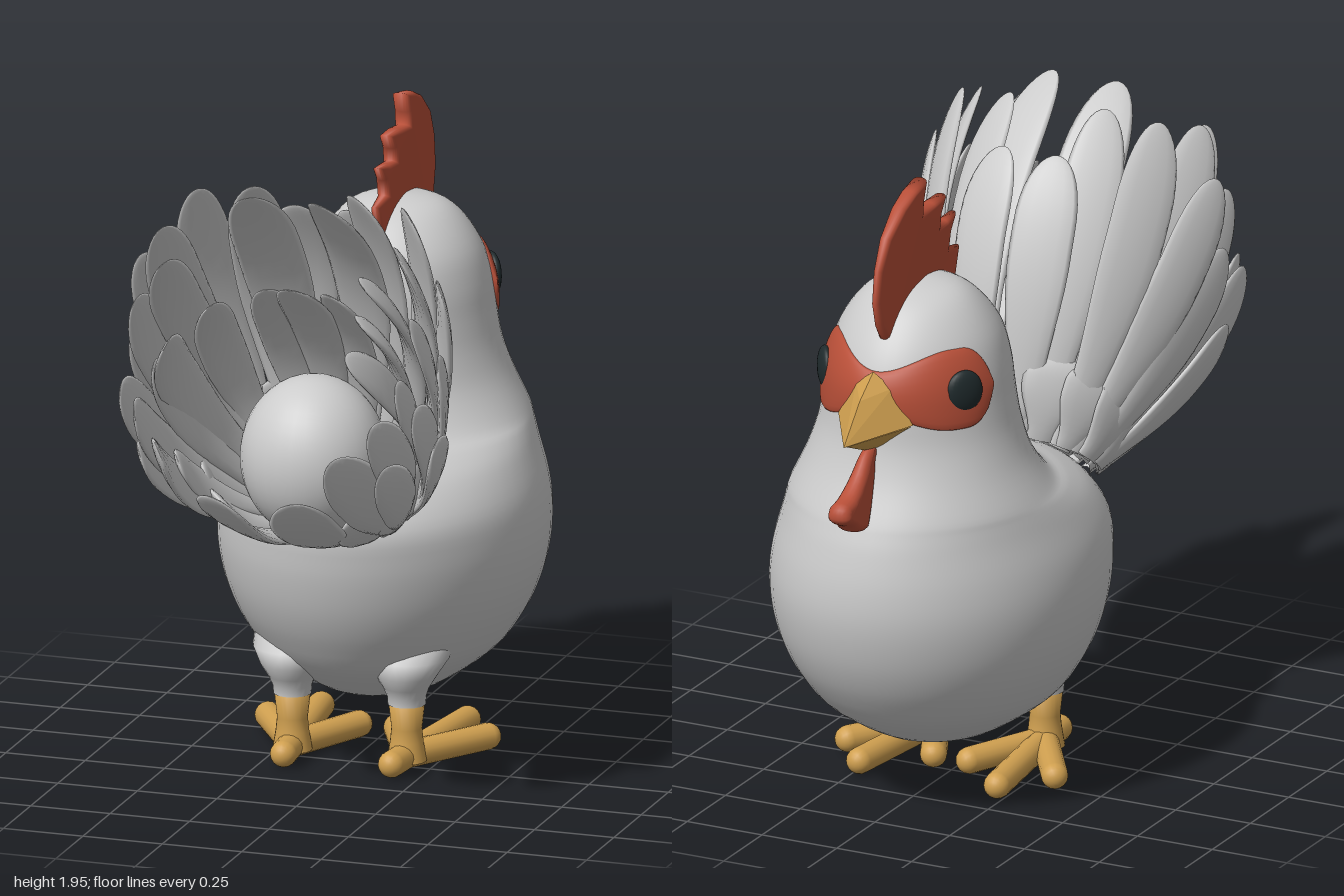
import * as THREE from 'three';
import { ConvexGeometry } from 'three/addons/geometries/ConvexGeometry.js';
import { mergeVertices } from 'three/addons/utils/BufferGeometryUtils.js';

const V = (x, y, z) => new THREE.Vector3(x, y, z);
const { lerp, smoothstep, mapLinear } = THREE.MathUtils;
const paint = (color, extra = {}) => new THREE.MeshStandardMaterial({ color, ...extra });
const grey = paint(0xcccccc);
const red = paint(0xb84f38);
const yellow = paint(0xd0a050);
const horn = paint(0xd0a050, { flatShading: true });
const dark = paint(0x1f2a2c);

function add(parent, name, geometry, material) {
  const mesh = new THREE.Mesh(geometry, material);
  mesh.name = name;
  parent.add(mesh);
  return mesh;
}

// Skin over closed rings of equal point count, counterclockwise about the path
function loft(rings) {
  const n = rings[0].length, index = [];
  for (let i = 0; i < rings.length - 1; i++) {
    for (let j = 0; j < n; j++) {
      const k = (j + 1) % n, a = i * n, b = a + n;
      index.push(a + j, a + k, b + k, a + j, b + k, b + j);
    }
  }
  const geometry = new THREE.BufferGeometry().setFromPoints(rings.flat());
  geometry.setIndex(index);
  geometry.computeVertexNormals();
  return geometry;
}

const ring = (n, f) => Array.from({ length: n }, (_, j) => f((j / n) * Math.PI * 2));

// Body sections: height, half width, front z, back z
const SECTIONS = [
  [0.16, 0, -0.3, -0.3], [0.17, 0.11, -0.42, -0.17], [0.2, 0.2, -0.55, -0.05],
  [0.3, 0.34, -0.72, 0.11], [0.4, 0.415, -0.81, 0.19], [0.5, 0.46, -0.868, 0.245],
  [0.6, 0.483, -0.903, 0.28], [0.7, 0.488, -0.92, 0.3], [0.8, 0.475, -0.916, 0.3],
  [0.9, 0.44, -0.895, 0.22], [0.96, 0.413, -0.875, 0.1], [1.0, 0.39, -0.858, -0.01],
  [1.1, 0.338, -0.81, -0.105], [1.2, 0.304, -0.78, -0.14], [1.3, 0.286, -0.77, -0.153],
  [1.4, 0.272, -0.755, -0.165], [1.5, 0.242, -0.71, -0.2], [1.59, 0.18, -0.635, -0.28],
  [1.635, 0.11, -0.55, -0.36], [1.65, 0, -0.45, -0.45],
];

// Smoothly interpolated section at parameter s (0 .. last index)
function section(s) {
  const last = SECTIONS.length - 1, i = Math.min(Math.floor(s), last - 1), t = s - i;
  const at = (k) => SECTIONS[Math.max(0, Math.min(last, k))];
  return [0, 1, 2, 3].map((c) => {
    const [a, b, d, e] = [at(i - 1)[c], at(i)[c], at(i + 1)[c], at(i + 2)[c]];
    return b + 0.5 * t * (d - a + t * (2 * a - 5 * b + 4 * d - e + t * (3 * (b - d) + e - a)));
  });
}

// Point of a section at an angle from the tail side; face and rump narrow a little
function skinPoint([y, w, front, back], a, offset = 0) {
  const c = Math.cos(a);
  const pinch = c < 0 ? 0.12 * smoothstep(y, 1.05, 1.3) : 0.05 + 0.15 * Math.exp(-(((y - 1) / 0.12) ** 2));
  return V((w + offset) * Math.sin(a) * (1 - pinch * c * c), y,
    (front + back) / 2 + ((back - front) / 2 + offset) * c);
}

// Point on the head at height y and angle from the beak, pushed out by offset
function onHead(angle, y, offset) {
  let lo = 12, hi = 17;
  for (let i = 0; i < 24; i++) {
    const mid = (lo + hi) / 2;
    if (section(mid)[0] < y) lo = mid; else hi = mid;
  }
  return skinPoint(section(lo), Math.PI - angle, offset);
}

function bodyGeometry() {
  const rings = [], steps = (SECTIONS.length - 1) * 4;
  for (let i = 0; i <= steps; i++) rings.push(ring(56, (a) => skinPoint(section(i / 4), a)));
  return loft(rings);
}

// Band round the face, wide at the eyes and narrow over the beak
function maskGeometry() {
  const rings = [], end = 1.37, eye = 1.03;
  for (let i = 0; i <= 64; i++) {
    const angle = end * Math.sin((i / 32 - 1) * Math.PI / 2), s = Math.abs(angle);
    const h = s > eye
      ? 0.118 * Math.sqrt(Math.max(0, 1 - ((s - eye) / (end - eye)) ** 2))
      : lerp(0.06, 0.118, smoothstep(s, 0, 0.9));
    rings.push(ring(20, (a) => onHead(angle, 1.375 + h * Math.cos(a), -0.014 * Math.sin(a))));
  }
  return loft(rings);
}

// Plate drawn in (z, y), rounded at its edges; thin(y, z) scales its thickness
function plate(points, thickness, bevel, smooth, thin) {
  const pts = points.map(([z, y]) => new THREE.Vector2(-z, y));
  const shape = new THREE.Shape(
    smooth ? new THREE.CatmullRomCurve3(pts.map((p) => V(p.x, p.y, 0)), true)
      .getPoints(40).slice(0, -1).map((p) => new THREE.Vector2(p.x, p.y)) : pts);
  const depth = thickness - 2 * bevel;
  const solid = new THREE.ExtrudeGeometry(shape, {
    depth, bevelThickness: bevel, bevelSize: bevel * 0.7, bevelOffset: -bevel * 0.7, bevelSegments: 4,
  }).translate(0, 0, -depth / 2).rotateY(Math.PI / 2);
  solid.deleteAttribute('normal');
  solid.deleteAttribute('uv');
  const geometry = mergeVertices(solid, 1e-5), pos = geometry.attributes.position;
  for (let i = 0; i < pos.count; i++) pos.setX(i, pos.getX(i) * thin(pos.getY(i), pos.getZ(i)));
  geometry.computeVertexNormals();
  return geometry;
}

// Feather rooted on the tail ring at angle phi (0 = top, PI = bottom), bowed outward
function featherGeometry(phi, tip, width, bow, inset = 1) {
  const c = Math.cos(phi), s = Math.sin(phi);
  const out = V(s, 0.64 * c, -0.77 * c).normalize();
  const root = V(0.25 * s * inset, 0.88 + 0.1 * c * inset, 0.19 - 0.12 * c * inset);
  const end = V(...tip);
  const mid = root.clone().lerp(end, 0.5).addScaledVector(out, bow * 2);
  const curve = new THREE.QuadraticBezierCurve3(root, mid, end);
  const rings = [];
  for (let i = 0; i <= 18; i++) {
    const t = Math.sin((i / 18) * Math.PI / 2);
    const p = curve.getPoint(t), dir = curve.getTangent(t);
    const side = out.clone().cross(dir).normalize();
    const normal = dir.clone().cross(side);
    const round = Math.sqrt(Math.max(0, 1 - (Math.max(0, t - 0.72) / 0.28) ** 2));
    const w = (width / 2) * (0.45 + 0.55 * smoothstep(t, 0, 0.6)) * round;
    rings.push(ring(12, (a) => p.clone().addScaledVector(side, w * Math.cos(a))
      .addScaledVector(normal, 0.017 * round * Math.sin(a))));
  }
  return loft(rings);
}

// Feathers of one side: ring angle, tip, width, outward bow, root inset
const FEATHERS = [
  [0.25, [0.09, 1.8, 0.27], 0.19, 0.09], [0.3, [0.11, 1.92, 0.63], 0.2, 0.14, 0.85],
  [0.5, [0.16, 1.9, 0.45], 0.18, 0.1], [0.85, [0.33, 1.88, 0.47], 0.19, 0.08],
  [0.95, [0.37, 1.81, 0.67], 0.19, 0.1, 0.95], [1.1, [0.47, 1.69, 0.57], 0.18, 0.06],
  [0.9, [0.31, 1.75, 0.82], 0.17, 0.13, 0.85], [1.25, [0.43, 1.6, 0.72], 0.18, 0.08, 0.95],
  [1.35, [0.48, 1.46, 0.6], 0.17, 0.05], [1.2, [0.28, 1.52, 0.87], 0.17, 0.11, 0.85],
  [1.6, [0.46, 1.34, 0.77], 0.18, 0.06], [1.8, [0.37, 1.32, 0.91], 0.18, 0.06, 0.95],
  [1.75, [0.48, 1.21, 0.62], 0.16, 0.04], [2.0, [0.38, 1.17, 0.84], 0.16, 0.05],
  [2.15, [0.27, 1.23, 0.99], 0.18, 0.06], [2.85, [0.12, 1.07, 0.92], 0.19, 0.05],
  [0.85, [0.23, 1.57, 0.62], 0.15, 0.1, 0.85], [0.3, [0.1, 1.6, 0.5], 0.15, 0.08, 0.85],
  [1.5, [0.38, 1.4, 0.7], 0.15, 0.05, 0.85], [2.1, [0.3, 1.12, 0.72], 0.15, 0.04, 0.9],
];

function tail() {
  const group = new THREE.Group();
  group.name = 'tail';
  for (const [sign, name] of [[1, 'left'], [-1, 'right']]) {
    const plume = (phi, tip, width, bow, inset, part) => add(group, name + part,
      featherGeometry(sign * phi, [sign * tip[0], tip[1], tip[2]], width, bow, inset), grey);
    FEATHERS.forEach(([phi, tip, width, bow, inset]) => plume(phi, tip, width, bow, inset, 'TailFeather'));
    // Short coverts over the feather roots
    for (let i = 0; i < 7; i++) {
      const phi = 0.15 + i * 0.38, c = Math.cos(phi), s = Math.sin(phi);
      plume(phi, [0.33 * s, 1.08 + 0.17 * c, 0.36 - 0.27 * c], 0.19, 0.025, 1.02, 'Covert');
    }
  }
  add(group, 'middleTailFeather', featherGeometry(0, [0, 1.63, 0.58], 0.16, 0.1, 0.85), grey);
  // Fluffy dome inside the fan
  const fluff = add(group, 'tailFluff', new THREE.SphereGeometry(0.22, 32, 24), grey);
  fluff.position.set(0, 1.05, 0.34);
  fluff.scale.y = 1.13;
  return group;
}

function leg(sign, name) {
  const group = new THREE.Group();
  group.name = name + 'Leg';
  group.position.set(sign * 0.18, 0, 0.01);
  // Feathered thigh flaring into the belly: radius, height, z
  const thigh = [[0.057, 0.205, 0], [0.059, 0.23, 0], [0.07, 0.26, 0.005], [0.095, 0.3, 0.005],
    [0.125, 0.35, -0.02], [0.14, 0.42, -0.1]];
  add(group, name + 'Thigh', loft(thigh.map(([r, y, z]) =>
    ring(24, (a) => V(r * Math.sin(a), y, z + r * Math.cos(a))))), grey);
  const shank = [[0.06, 0.03], [0.05, 0.09], [0.046, 0.13], [0.056, 0.22], [0, 0.222]];
  add(group, name + 'Shank',
    new THREE.LatheGeometry(shank.map(([r, y]) => new THREE.Vector2(r, y)), 24), yellow);
  // Three toes forward, one back
  for (const [x, z] of [[-0.12, -0.26], [0.05, -0.41], [0.165, -0.26], [-0.01, 0.11]]) {
    const length = Math.hypot(x, z);
    const geometry = new THREE.CapsuleGeometry(0.041, length, 6, 16)
      .rotateX(Math.PI / 2).translate(0, 0, length / 2);
    const toe = add(group, name + 'Toe', geometry, yellow);
    toe.position.y = 0.046;
    toe.rotation.y = Math.atan2(sign * x, z);
  }
  return group;
}

export function createModel() {
  const model = new THREE.Group();
  model.name = 'rooster';
  add(model, 'body', bodyGeometry(), grey);
  add(model, 'faceMask', maskGeometry(), red);
  // Comb, thickest in the middle
  add(model, 'comb', plate([
    [-0.25, 1.57], [-0.4, 1.5], [-0.68, 1.5], [-0.73, 1.57], [-0.755, 1.65], [-0.74, 1.75], [-0.69, 1.84],
    [-0.6, 1.91], [-0.53, 1.94], [-0.45, 1.955], [-0.47, 1.89], [-0.475, 1.85], [-0.4, 1.86],
    [-0.315, 1.86], [-0.35, 1.81], [-0.36, 1.77], [-0.31, 1.775], [-0.24, 1.78], [-0.28, 1.73],
    [-0.295, 1.68], [-0.215, 1.665],
  ], 0.054, 0.022, false, (y, z) => 1 - 0.6 * ((z + 0.48) / 0.28) ** 2), red);
  // Wattle, thin at the throat and full at the bottom
  add(model, 'wattle', plate([
    [-0.77, 1.22], [-0.82, 1.2], [-0.88, 1.14], [-0.94, 1.1], [-0.99, 1.085], [-1.0, 1.04],
    [-0.95, 1.01], [-0.92, 0.985], [-0.87, 0.98], [-0.84, 1.02], [-0.81, 1.08], [-0.785, 1.14],
  ], 0.08, 0.035, true, (y) => mapLinear(y, 0.98, 1.22, 1.15, 0.45)), red);
  // Beak halves
  add(model, 'upperBeak', new ConvexGeometry([
    V(0, 1.44, -0.76), V(0.06, 1.395, -0.755), V(-0.06, 1.395, -0.755), V(0.125, 1.285, -0.745),
    V(-0.125, 1.285, -0.745), V(0, 1.375, -0.85), V(0, 1.262, -0.955), V(0, 1.29, -0.6),
  ]), horn);
  add(model, 'lowerBeak', new ConvexGeometry([
    V(0.115, 1.277, -0.74), V(-0.115, 1.277, -0.74), V(0, 1.258, -0.935), V(0, 1.21, -0.82),
    V(0.05, 1.21, -0.73), V(-0.05, 1.21, -0.73),
  ]), horn);
  for (const [sign, name] of [[1, 'left'], [-1, 'right']]) {
    const eye = add(model, name + 'Eye', new THREE.SphereGeometry(1, 24, 16), dark);
    eye.scale.set(0.06, 0.067, 0.024);
    eye.position.copy(onHead(sign * 1.02, 1.37, 0.004));
    eye.rotation.y = Math.PI - sign * 0.92;
    model.add(leg(sign, name));
  }
  model.add(tail());
  return model;
}
